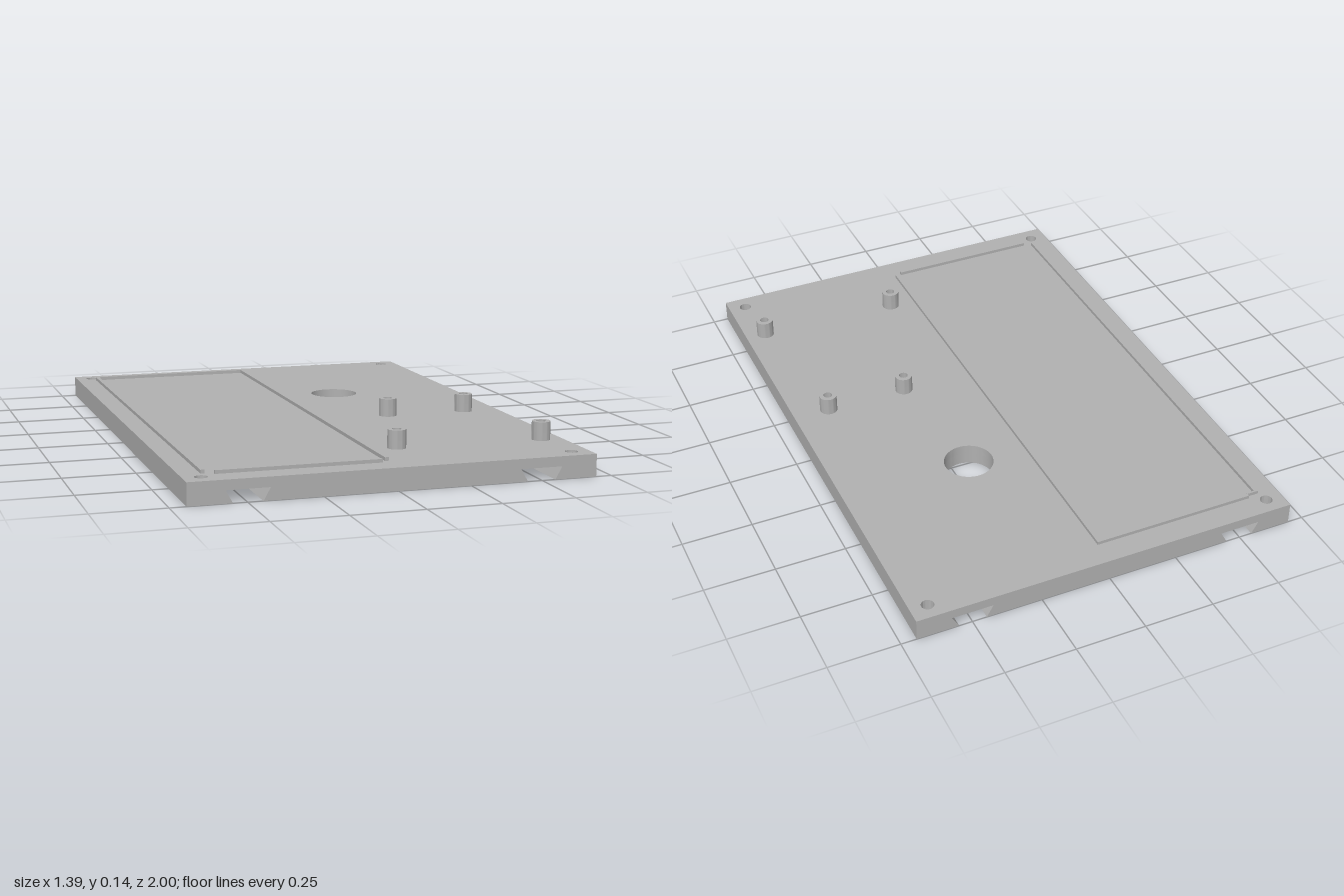
import * as THREE from 'three';
import { toCreasedNormals } from 'three/addons/utils/BufferGeometryUtils.js';

const W = 0.695, L = 1, GROOVE_TOP = 0.043, TOP = 0.077;

// Horizontal slab with round vertical holes given as [x, z, radius]
function slab(x0, x1, y0, y1, holes) {
  const shape = new THREE.Shape();
  shape.moveTo(x0, -L).lineTo(x1, -L).lineTo(x1, L).lineTo(x0, L).closePath();
  for (const [x, z, r] of holes) {
    shape.holes.push(new THREE.Path().absarc(x, -z, r, 0, Math.PI * 2, true));
  }
  const g = new THREE.ExtrudeGeometry(shape, { depth: y1 - y0, bevelEnabled: false, curveSegments: 32 });
  g.rotateX(-Math.PI / 2);
  g.translate(0, y0, 0);
  return g;
}

// Slope the groove walls: groove edges move to their wider position at the groove roof
function undercut(g, moves) {
  const p = g.attributes.position;
  for (let i = 0; i < p.count; i++) {
    if (p.getY(i) < GROOVE_TOP / 2) continue;
    for (const [from, to] of moves) {
      if (Math.abs(p.getX(i) - from) < 1e-4) { p.setX(i, to); break; }
    }
  }
  return g;
}

export function createModel() {
  const model = new THREE.Group();
  model.name = 'mountingPlate';
  const grey = new THREE.MeshStandardMaterial({ color: 0xb0b0b0 });
  grey.name = 'plain grey';
  const add = (name, geometry) => {
    const mesh = new THREE.Mesh(toCreasedNormals(geometry, 0.6), grey);
    mesh.name = name;
    model.add(mesh);
    return mesh;
  };

  const cableHole = [0.215, -0.327, 0.088];
  const corners = (xs, r) => xs.flatMap(x => [-0.943, 0.94].map(z => [x, z, r]));

  // Upper layer with screw holes and the large cable hole
  add('plateTop', slab(-W, W, GROOVE_TOP, TOP, [...corners([-0.634, 0.632], 0.022), cableHole]));

  // Lower strips, separated by two dovetail grooves, with wider screw-head recesses
  add('leftRail', undercut(slab(0.547, W, 0, GROOVE_TOP, corners([0.632], 0.037)), [[0.547, 0.571]]));
  add('rightRail', undercut(slab(-W, -0.547, 0, GROOVE_TOP, corners([-0.634], 0.037)), [[-0.547, -0.571]]));
  add('middleRail', undercut(slab(-0.449, 0.449, 0, GROOVE_TOP, [cableHole]),
    [[-0.449, -0.425], [0.449, 0.425]]));

  // Thin ridges framing the long rectangular area: [name, x0, x1, z0, z1]
  const ridges = [
    ['rightRidge', -0.625, -0.612, -0.902, 0.895],
    ['leftRidge', -0.01, 0.003, -0.9, 0.895],
    ['backRidge', -0.583, 0.003, -0.912, -0.899],
    ['backCornerRidge', -0.612, -0.583, -0.902, -0.896],
    ['frontRidge', -0.583, -0.025, 0.902, 0.915],
  ];
  for (const [name, x0, x1, z0, z1] of ridges) {
    add(name, new THREE.BoxGeometry(x1 - x0, 0.012, z1 - z0))
      .position.set((x0 + x1) / 2, TOP + 0.006, (z0 + z1) / 2);
  }

  // Hollow standoffs
  const profile = [[0.032, 0], [0.032, 0.065], [0.016, 0.065], [0.016, 0.001], [0, 0.001]]
    .map(([r, y]) => new THREE.Vector2(r, y));
  for (const [x, z] of [[0.263, 0.165], [0.562, 0.165], [0.097, 0.713], [0.618, 0.728]]) {
    add('standoff', new THREE.LatheGeometry(profile, 32)).position.set(x, TOP, z);
  }
  return model;
}
